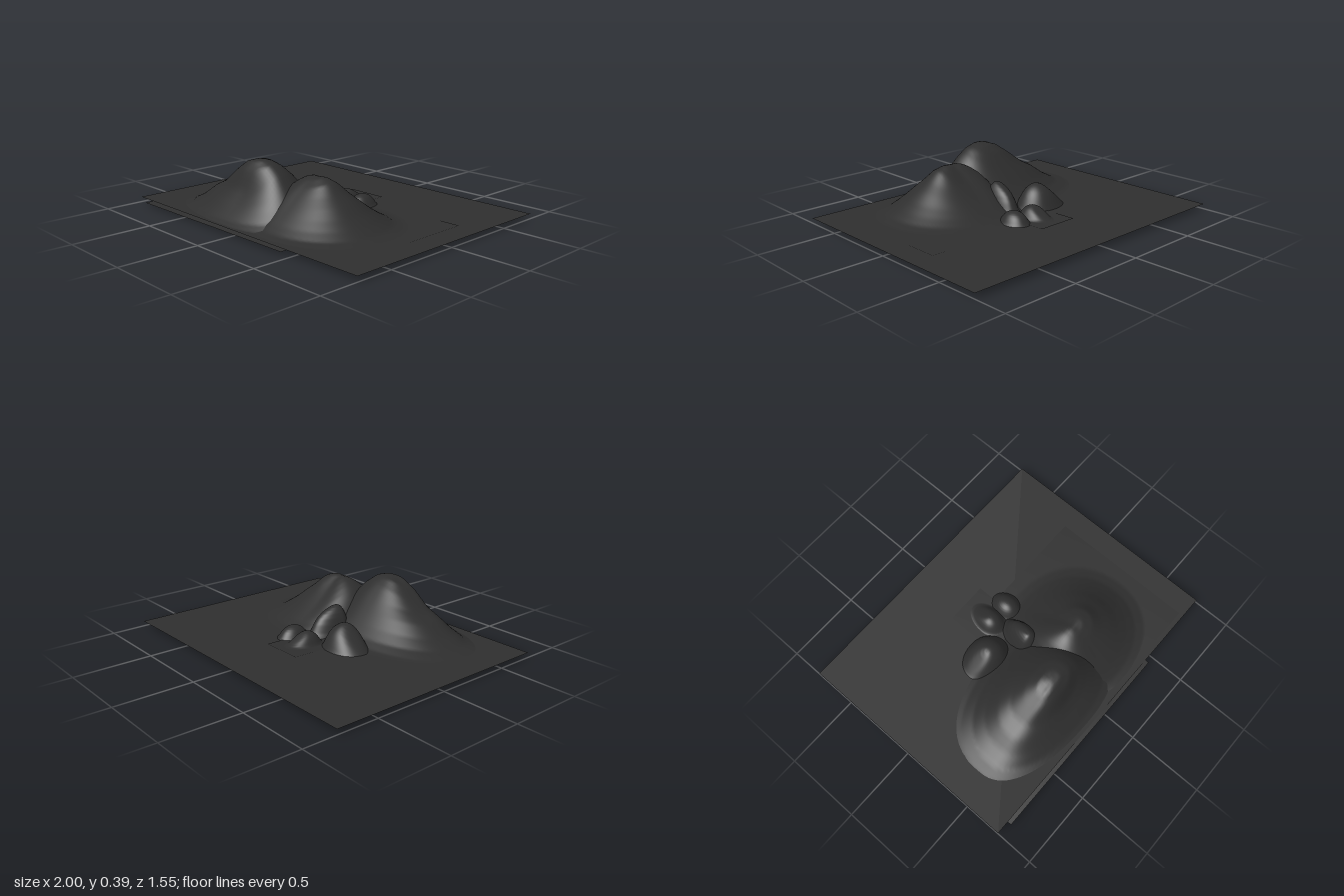
import * as THREE from 'three';

const rock = new THREE.MeshStandardMaterial({ color: 0x2e2e2e, side: THREE.DoubleSide });
rock.name = 'darkGrey';

// Height profiles from the summit (first) to the foot (last)
const DOME = [1, 0.99, 0.95, 0.88, 0.78, 0.63, 0.42, 0.17, 0];
const SLOPE = [1, 0.95, 0.82, 0.66, 0.5, 0.34, 0.18, 0.05, 0];

function sample(profile, t) {
  const s = Math.min(t, 0.9999) * (profile.length - 1);
  const i = Math.floor(s);
  return THREE.MathUtils.lerp(profile[i], profile[i + 1], s - i);
}

// A sheet of ground raised into one hill.
// area: [x0, x1, z0, z1], base: [height at hill centre, slope along x, slope along z]
// reach and profiles: toward -x, +x, -z, +z
function hill(name, { area, center, height, base, reach, profiles, power = 2, turn = 0 }) {
  const [x0, x1, z0, z1] = area;
  const geo = new THREE.PlaneGeometry(x1 - x0, z1 - z0, 64, 64);
  geo.rotateX(-Math.PI / 2);
  geo.translate((x0 + x1) / 2, 0, (z0 + z1) / 2);
  const p = geo.attributes.position;
  const c = Math.cos(turn), s = Math.sin(turn);
  for (let i = 0; i < p.count; i++) {
    const gx = p.getX(i) - center[0], gz = p.getZ(i) - center[1];
    const dx = gx * c + gz * s, dz = gz * c - gx * s;
    const sideX = dx < 0 ? 0 : 1, sideZ = dz < 0 ? 2 : 3;
    const u = Math.abs(dx) / reach[sideX], v = Math.abs(dz) / reach[sideZ];
    const t = (u ** power + v ** power) ** (1 / power);
    const w = (u * u) / (u * u + v * v + 1e-9);
    const h = w * sample(profiles[sideX], t) + (1 - w) * sample(profiles[sideZ], t);
    p.setY(i, base[0] + base[1] * gx + base[2] * gz + (t < 1 ? h * height : 0));
  }
  geo.computeVertexNormals();
  const mesh = new THREE.Mesh(geo, rock);
  mesh.name = name;
  return mesh;
}

export function createModel() {
  const group = new THREE.Group();
  group.name = 'hillyTerrain';

  // Flat ground
  const ground = new THREE.Mesh(new THREE.PlaneGeometry(2, 1.53).rotateX(-Math.PI / 2), rock);
  ground.position.set(0, 0.035, -0.015);
  ground.name = 'ground';
  group.add(ground);

  // Two large hills
  group.add(hill('mainHill', {
    area: [-0.91, 0.45, -0.12, 0.775], center: [-0.15, 0.43], height: 0.363,
    base: [0.026, 0.006, -0.012], reach: [0.75, 0.55, 0.48, 0.35], power: 2.3,
    profiles: [
      [1, 0.9, 0.71, 0.52, 0.4, 0.22, 0.09, 0.03, 0],
      [1, 1, 0.94, 0.8, 0.58, 0.36, 0.17, 0.05, 0],
      [1, 0.97, 0.84, 0.66, 0.48, 0.3, 0.14, 0.04, 0],
      [1, 0.98, 0.83, 0.52, 0.35, 0.22, 0.09, 0.02, 0],
    ],
  }));
  group.add(hill('sideHill', {
    area: [-0.15, 0.85, -0.26, 0.72], center: [0.23, 0.3], height: 0.293,
    base: [0.034, 0.005, -0.002], reach: [0.33, 0.52, 0.47, 0.42], power: 2.2,
    profiles: [
      DOME,
      [1, 1, 0.92, 0.72, 0.55, 0.36, 0.2, 0.06, 0],
      [1, 0.88, 0.72, 0.56, 0.41, 0.27, 0.14, 0.04, 0],
      SLOPE,
    ],
  }));

  // Small mounds behind them
  group.add(hill('longMound', {
    area: [-0.45, 0.06, -0.26, 0.35], center: [-0.2, -0.03], height: 0.172,
    base: [0.013, 0.016, 0.028], reach: [0.24, 0.16, 0.16, 0.13], turn: 0.12,
    profiles: [SLOPE, DOME, DOME, DOME],
  }));
  group.add(hill('ridgeMound', {
    area: [-0.1, 0.16, -0.14, 0.24], center: [0.035, 0.1], height: 0.187,
    base: [0.029, 0, 0], reach: [0.11, 0.1, 0.22, 0.09], turn: 0.12,
    profiles: [DOME, DOME, [1, 0.97, 0.92, 0.85, 0.76, 0.64, 0.45, 0.18, 0], DOME],
  }));
  group.add(hill('backMound', {
    area: [-0.16, 0.12, -0.39, -0.06], center: [-0.01, -0.18], height: 0.077,
    base: [0.037, 0, -0.02], reach: [0.09, 0.09, 0.16, 0.1],
    profiles: [DOME, DOME, SLOPE, DOME],
  }));
  group.add(hill('roundMound', {
    area: [0.03, 0.25, -0.3, -0.04], center: [0.14, -0.17], height: 0.078,
    base: [0.031, 0, 0], reach: [0.09, 0.09, 0.12, 0.11],
    profiles: [DOME, DOME, DOME, DOME],
  }));

  return group;
}
